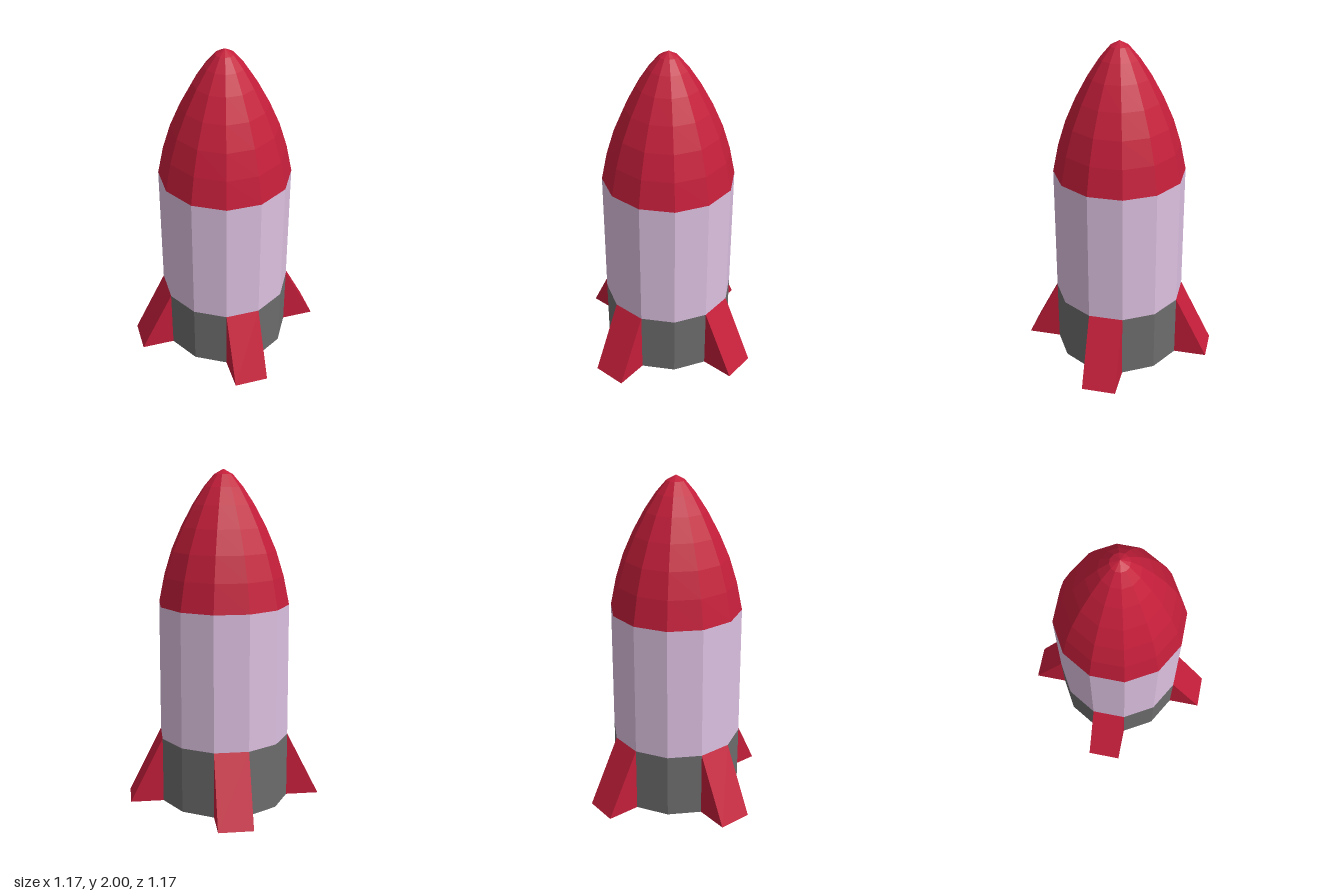
import * as THREE from 'three';

const SIDES = 12;
const APOTHEM = 0.384; // centre to the middle of a flat side
const CORNER = 1 / Math.cos(Math.PI / SIDES);

const paint = (color) => new THREE.MeshStandardMaterial({ color, flatShading: true });

// Turned twelve-sided part with flats facing x and z; profile is [flat-side radius, y]
function turned(name, profile, material) {
  const points = profile.map(([r, y]) => new THREE.Vector2(r * CORNER, y));
  const geometry = new THREE.LatheGeometry(points, SIDES, Math.PI / SIDES);
  const mesh = new THREE.Mesh(geometry, material);
  mesh.name = name;
  return mesh;
}

export function createModel() {
  const rocket = new THREE.Group();
  rocket.name = 'rocket';
  const red = paint(0xc41e3a);
  const lavender = paint(0xdcc0e0);
  const grey = paint(0x6c6c6c);

  // Engine base with a recessed exhaust opening underneath
  rocket.add(turned('engineBase', [
    [0, 0.2], [0.29, 0.2], [0.29, 0], [APOTHEM, 0], [APOTHEM, 0.4],
  ], grey));

  // Hull
  rocket.add(turned('hull', [[APOTHEM, 0.4], [0.381, 1.21]], lavender));

  // Rounded nose cone
  rocket.add(turned('noseCone', [
    [0.381, 1.21], [0.347, 1.38], [0.302, 1.53], [0.243, 1.67],
    [0.175, 1.8], [0.111, 1.9], [0.053, 1.97], [0, 2],
  ], red));

  // Four wedge fins, each as wide as one flat side
  const width = 2 * APOTHEM * Math.tan(Math.PI / SIDES);
  const wedge = new THREE.Shape([
    new THREE.Vector2(APOTHEM - 0.002, 0),
    new THREE.Vector2(0.585, 0),
    new THREE.Vector2(APOTHEM, 0.4),
    new THREE.Vector2(APOTHEM - 0.002, 0.4),
  ]);
  const finGeometry = new THREE.ExtrudeGeometry(wedge, { depth: width, bevelEnabled: false });
  finGeometry.translate(0, 0, -width / 2);
  ['leftFin', 'backFin', 'rightFin', 'frontFin'].forEach((name, i) => {
    const fin = new THREE.Mesh(finGeometry, red);
    fin.name = name;
    fin.rotation.y = i * Math.PI / 2;
    rocket.add(fin);
  });

  return rocket;
}
